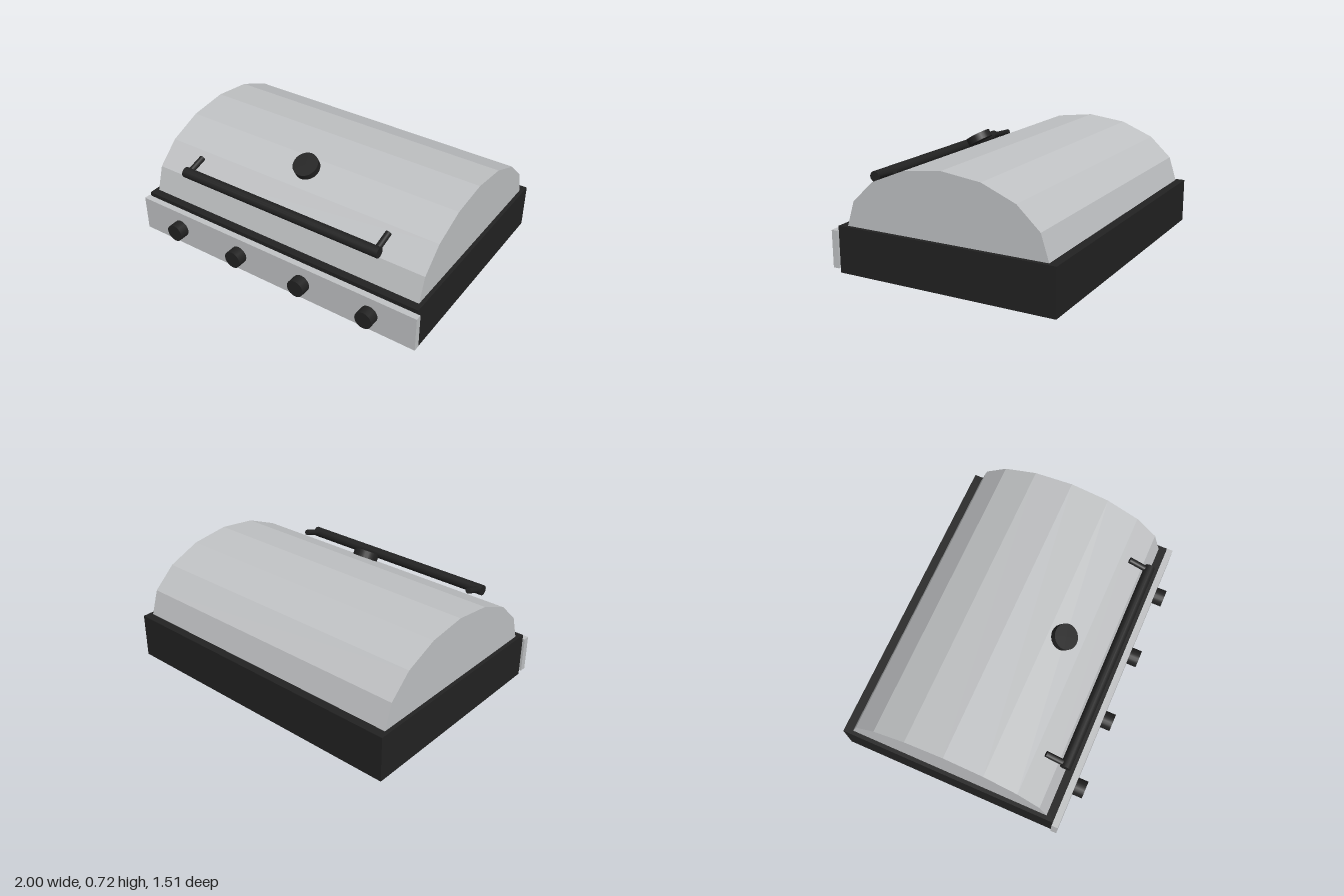
import * as THREE from 'three';

export function createModel() {
  const model = new THREE.Group();
  model.name = 'tabletopGrill';

  const steel = new THREE.MeshStandardMaterial({ color: 0xc0c2c4 });
  steel.name = 'brushedSteel';
  steel.flatShading = true;
  const black = new THREE.MeshStandardMaterial({ color: 0x222222 });
  black.name = 'black';

  function add(name, geometry, material, x, y, z) {
    const mesh = new THREE.Mesh(geometry, material);
    mesh.name = name;
    mesh.position.set(x, y, z);
    model.add(mesh);
    return mesh;
  }

  // Firebox and front control panel
  add('firebox', new THREE.BoxGeometry(1.97, 0.287, 1.405), black, 0, 0.1435, -0.0525);
  add('controlPanel', new THREE.BoxGeometry(2, 0.23, 0.04), steel, 0, 0.145, 0.67);

  // Faceted lid: half ellipse in eight steps, extruded across the width
  const lidWidth = 1.92;
  const profile = [];
  for (let i = 0; i <= 8; i++) {
    const a = (i / 8) * Math.PI;
    profile.push(new THREE.Vector2(0.65 * Math.cos(a), 0.403 * Math.sin(a)));
  }
  const lidGeometry = new THREE.ExtrudeGeometry(new THREE.Shape(profile), {
    depth: lidWidth, bevelEnabled: false,
  });
  lidGeometry.translate(0, 0, -lidWidth / 2);
  lidGeometry.rotateY(-Math.PI / 2);
  add('lid', lidGeometry, steel, 0, 0.287, -0.05);

  // Burner knobs
  for (let i = 0; i < 4; i++) {
    const knob = new THREE.CylinderGeometry(0.056, 0.056, 0.066, 20);
    knob.rotateX(Math.PI / 2);
    add('burnerKnob' + (i + 1), knob, black, -0.7 + (i * 1.4) / 3, 0.145, 0.722);
  }

  // Lid handle: bar on two sloping posts
  const bar = new THREE.CylinderGeometry(0.033, 0.033, 1.4, 16);
  bar.rotateZ(Math.PI / 2);
  add('handleBar', bar, black, 0, 0.521, 0.6);
  const from = new THREE.Vector3(0, 0.521, 0.6);
  const to = new THREE.Vector3(0, 0.562, 0.468);
  const along = to.clone().sub(from);
  for (const side of [-1, 1]) {
    const post = add('handlePost' + (side > 0 ? 'Left' : 'Right'),
      new THREE.CylinderGeometry(0.019, 0.019, along.length(), 12), black,
      side * 0.675, (from.y + to.y) / 2, (from.z + to.z) / 2);
    post.quaternion.setFromUnitVectors(new THREE.Vector3(0, 1, 0), along.clone().normalize());
  }

  // Round temperature gauge tilted toward the front
  const gauge = add('temperatureGauge',
    new THREE.CylinderGeometry(0.08, 0.08, 0.045, 24), black, 0, 0.66, 0.299);
  gauge.rotation.x = Math.PI / 6;

  return model;
}
